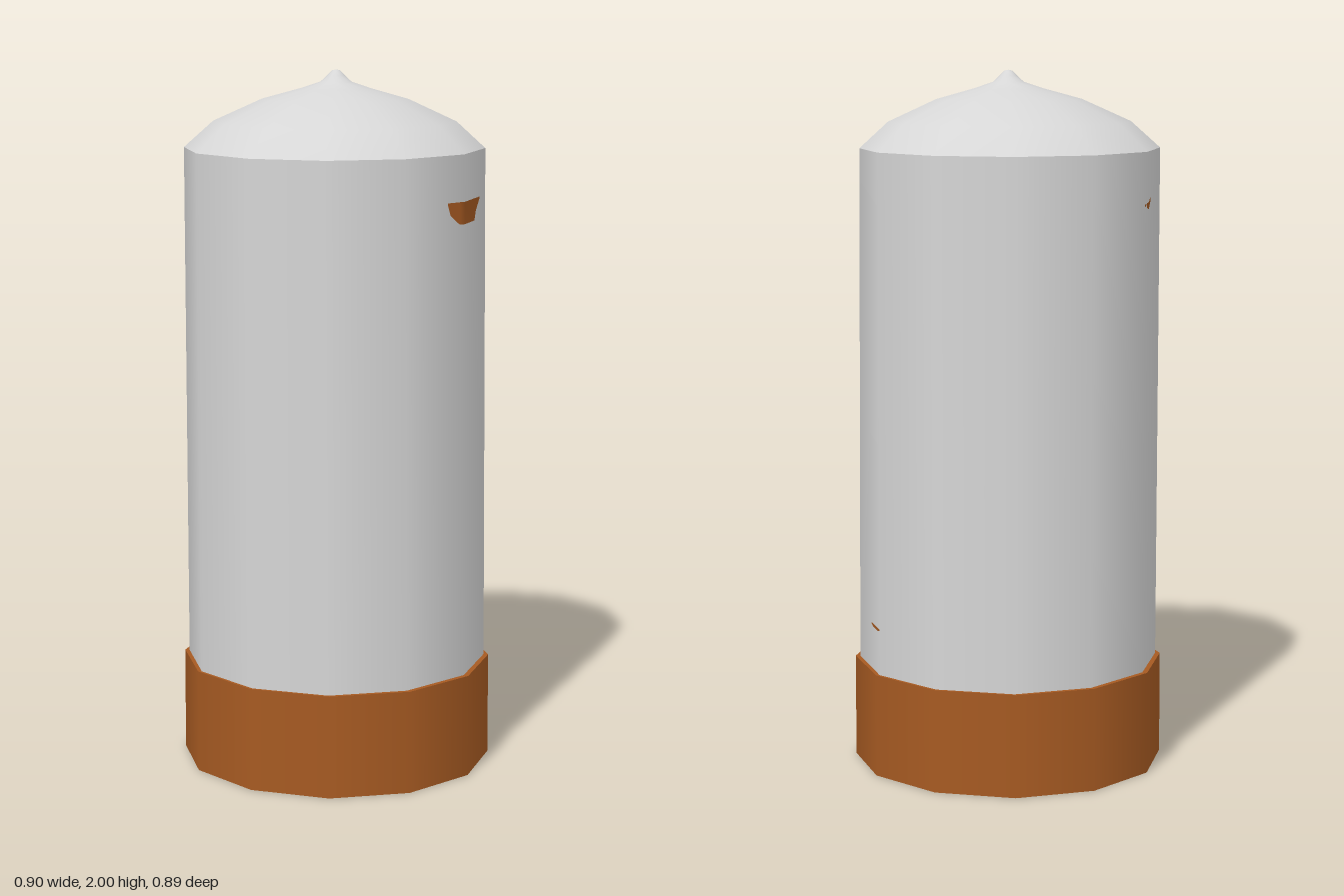
import * as THREE from 'three';

const SIDES = 12;
const BODY_R = 0.434;

// The +x side of the body leans inward slightly with height.
const lean = (y) => 1 - 0.035 * THREE.MathUtils.clamp((y - 0.3) / 1.48, 0, 1);

function lathe(profile) {
  return new THREE.LatheGeometry(profile.map(([r, y]) => new THREE.Vector2(r, y)), SIDES);
}

function leaned(geometry) {
  const p = geometry.attributes.position;
  for (let i = 0; i < p.count; i++) {
    if (p.getX(i) > 0) p.setX(i, p.getX(i) * lean(p.getY(i)));
  }
  return geometry;
}

// Distance from the axis plane to the faceted wall at depth z.
function wallX(z, y, side) {
  const a = Math.abs(z), half = BODY_R / 2;
  const x = a < half ? BODY_R - a * 0.268 : BODY_R * 0.866 - (a - half);
  return side * (x * (side > 0 ? lean(y) : 1) + 0.003);
}

// Thin patch lying on the wall; columns are [z, low y, high y].
function patchGeometry(columns, side) {
  const pos = [], index = [];
  columns.forEach(([z, low, high], i) => {
    pos.push(wallX(z, low, side), low, z, wallX(z, high, side), high, z);
    if (i) {
      const a = 2 * i - 2;
      if (side > 0) index.push(a, a + 2, a + 1, a + 1, a + 2, a + 3);
      else index.push(a, a + 1, a + 2, a + 1, a + 3, a + 2);
    }
  });
  const g = new THREE.BufferGeometry();
  g.setAttribute('position', new THREE.Float32BufferAttribute(pos, 3));
  g.setIndex(index);
  g.computeVertexNormals();
  return g;
}

export function createModel() {
  const group = new THREE.Group();
  const grey = new THREE.MeshStandardMaterial({ color: 0xd6d6d6 });
  grey.name = 'pale grey';
  const copper = new THREE.MeshStandardMaterial({ color: 0xa65a22, side: THREE.DoubleSide });
  copper.name = 'copper brown';

  const add = (name, geometry, material) => {
    const mesh = new THREE.Mesh(geometry, material);
    mesh.name = name;
    group.add(mesh);
    return mesh;
  };

  // Base cup: wall, rim and underside, kept separate for sharp edges
  const zSquash = 0.985;
  add('baseWall', lathe([[0.45, 0], [0.449, 0.296]]), copper).scale.z = zSquash;
  add('baseRim', lathe([[0.449, 0.296], [0.42, 0.296]]), copper).scale.z = zSquash;
  add('baseUnderside', lathe([[0, 0], [0.45, 0]]), copper).scale.z = zSquash;

  // Tall body
  add('body', leaned(lathe([[BODY_R, 0.28], [BODY_R, 1.78]])), grey);

  // Domed cap with a small nipple at the tip
  add('cap', leaned(lathe([
    [BODY_R, 1.78], [0.35, 1.855], [0.21, 1.918], [0.1, 1.948],
    [0.045, 1.966], [0.025, 1.984], [0.011, 1.998], [0, 2],
  ])), grey);

  // Worn patches on the wall
  add('upperPatch', patchGeometry([
    [0.065, 1.645, 1.65], [0.055, 1.615, 1.65], [0.02, 1.588, 1.65], [0, 1.588, 1.65],
    [-0.095, 1.588, 1.65], [-0.11, 1.615, 1.65], [-0.15, 1.647, 1.65],
  ], 1), copper);
  add('lowerPatch', patchGeometry([
    [-0.32, 0.428, 0.432], [-0.335, 0.423, 0.432], [-0.37, 0.423, 0.432], [-0.385, 0.428, 0.432],
  ], 1), copper);
  add('smallPatch', patchGeometry([
    [-0.01, 1.63, 1.635], [0.02, 1.62, 1.64], [0.05, 1.645, 1.655],
  ].reverse(), -1).scale(1, 1, 1), copper);

  return group;
}
